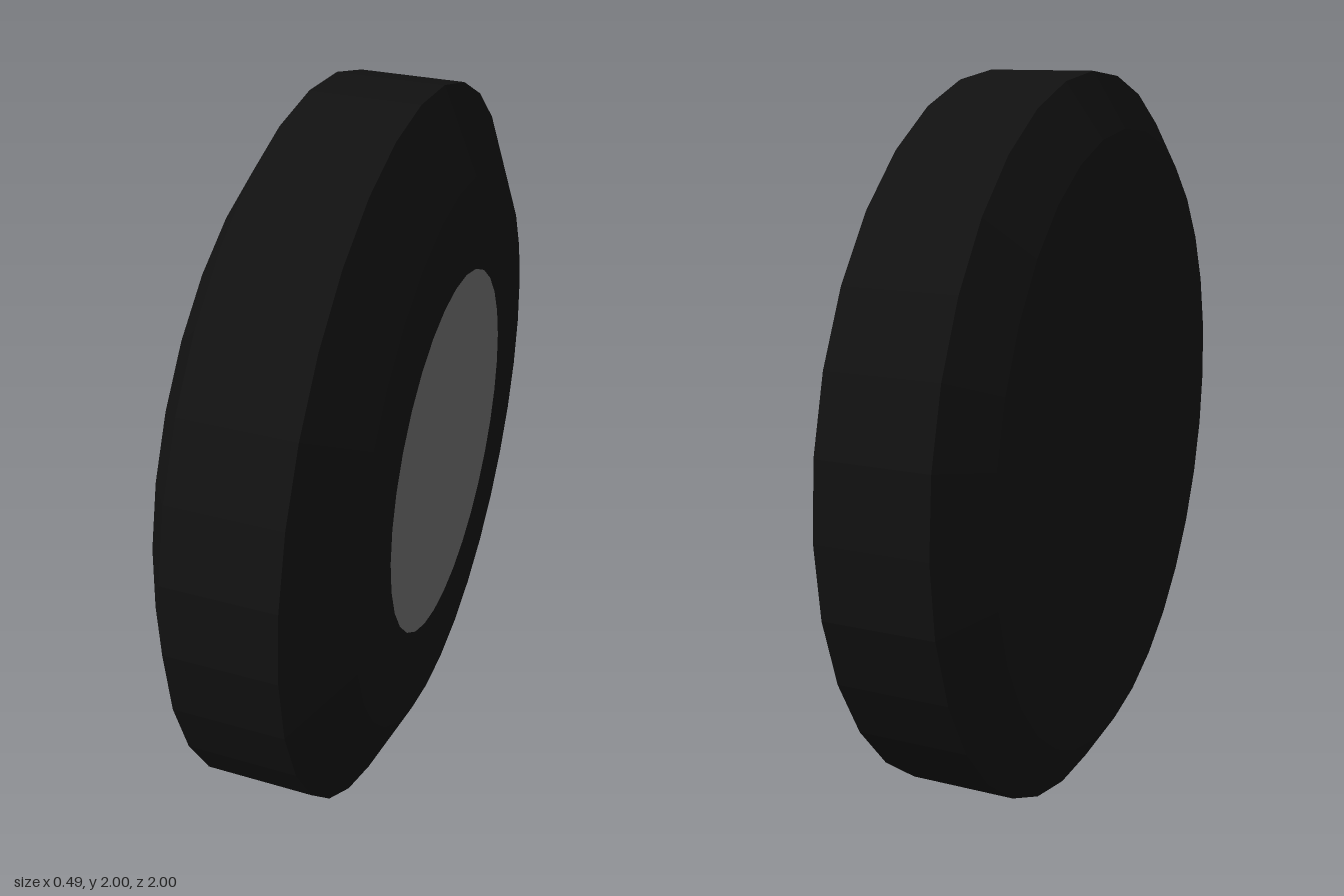
import * as THREE from 'three';

const SIDES = 32;

export function createModel() {
  const model = new THREE.Group();
  model.name = 'wheel';

  const rubber = new THREE.MeshStandardMaterial({ color: 0x111111, flatShading: true });
  const metal = new THREE.MeshStandardMaterial({ color: 0x666666, flatShading: true });

  // Tyre: closed inner face, wide tread, broader bevel on the outer face (radius, x)
  const profile = [
    [0, -0.245], [0.855, -0.245], [1, -0.155], [1, 0.135], [0.78, 0.24], [0.517, 0.24],
  ].map(([r, x]) => new THREE.Vector2(r, x));
  const tyreGeometry = new THREE.LatheGeometry(profile, SIDES).rotateZ(-Math.PI / 2);
  const tyre = new THREE.Mesh(tyreGeometry, rubber);
  tyre.name = 'tyre';

  // Hub: flat disc flush with the outer sidewall
  const hubGeometry = new THREE.CircleGeometry(0.517, SIDES).rotateY(Math.PI / 2);
  const hub = new THREE.Mesh(hubGeometry, metal);
  hub.name = 'hub';
  hub.position.x = 0.24;

  model.add(tyre, hub);
  model.children.forEach((part) => { part.position.y = 1; });
  return model;
}
